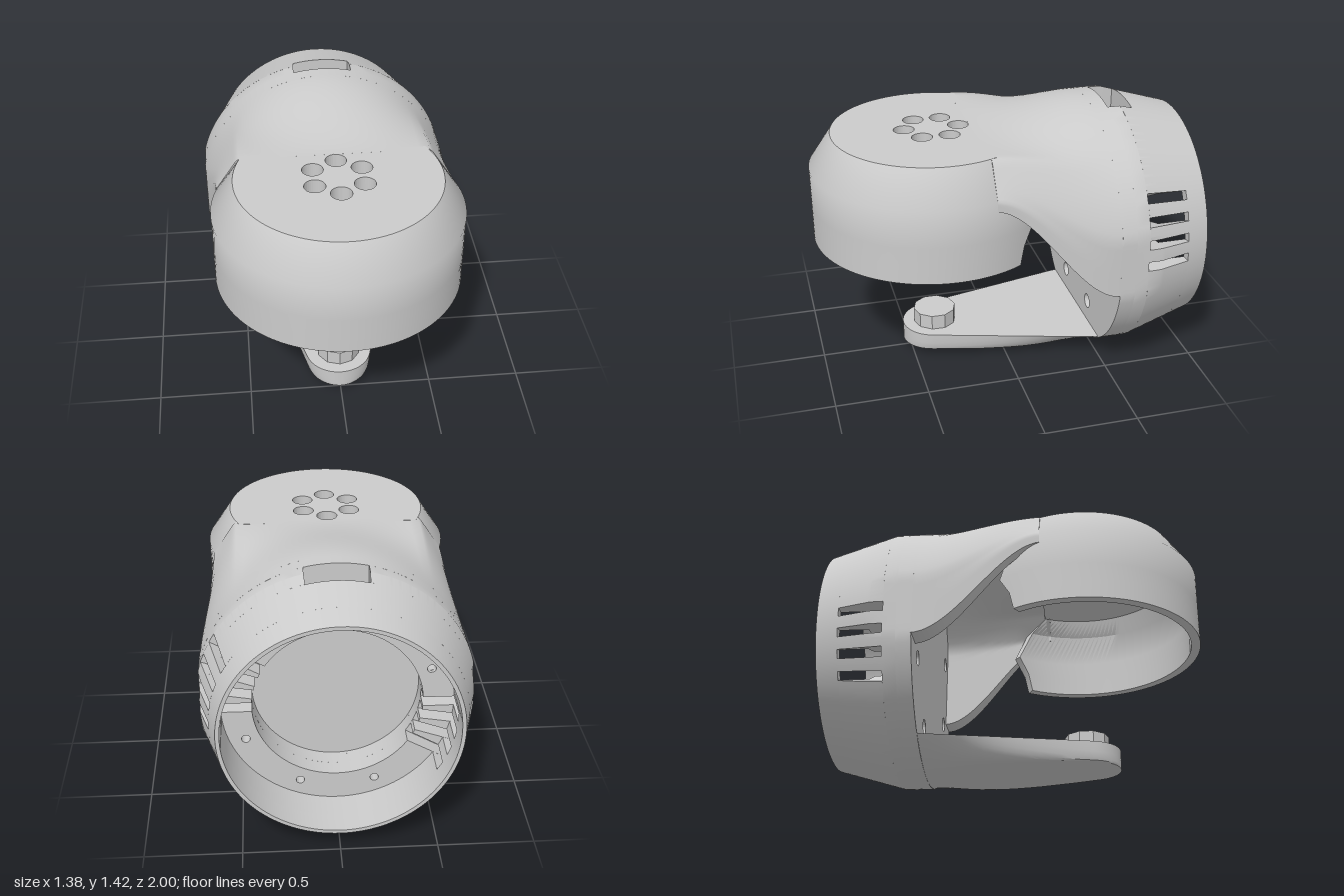
import * as THREE from 'three';
import { mergeGeometries, toCreasedNormals } from 'three/addons/utils/BufferGeometryUtils.js';

const lerp = THREE.MathUtils.lerp, clamp = THREE.MathUtils.clamp;
const rad = THREE.MathUtils.degToRad;
const material = new THREE.MeshStandardMaterial({ color: 0xcccccc });

function addMesh(parent, name, geometry, crease = 0.5) {
  const mesh = new THREE.Mesh(toCreasedNormals(geometry, crease), material);
  mesh.name = name;
  parent.add(mesh);
}

// Closed solid through matching loops; each end is capped as a strip
// between point i and its partner at the other end of the loop.
function loft(sections) {
  const n = sections[0].length, last = sections.length - 1;
  const pos = sections.flat(2), index = [];
  for (let s = 0; s < last; s++) {
    for (let i = 0; i < n; i++) {
      const a = s * n + i, b = s * n + (i + 1) % n;
      index.push(a, b, b + n, a, b + n, a + n);
    }
  }
  for (let i = 0; i < n / 2 - 1; i++) {
    const j = n - 1 - i, e = last * n;
    index.push(i, j, j - 1, i, j - 1, i + 1);
    index.push(e + i, e + j - 1, e + j, e + i, e + i + 1, e + j - 1);
  }
  // Turn the faces outwards if the enclosed volume is negative
  const p = (k) => new THREE.Vector3().fromArray(pos, index[k] * 3);
  let volume = 0;
  for (let k = 0; k < index.length; k += 3) volume += p(k).dot(p(k + 1).cross(p(k + 2)));
  if (volume < 0) index.reverse();
  const g = new THREE.BufferGeometry();
  g.setAttribute('position', new THREE.Float32BufferAttribute(pos, 3));
  g.setIndex(index);
  return g;
}

function circleHole(shape, x, y, r) {
  shape.holes.push(new THREE.Path().absarc(x, y, r, 0, Math.PI * 2, true));
}

// ---- Barrel: stacked ring layers along z, some cut into sectors by openings
const R = 0.71, R_BACK = 0.605, AXIS_Y = 0.711, SIDE = 0.69;
// Straight-sided openings: direction in degrees and half width
const slots = [0, 10, 20, 30, 180, 190, 200, 210].map((a) => [a, 0.026]);
const topWindow = [[90, 0.16]];
const barrelRadius = (z) => (z > -0.64 ? R : lerp(R_BACK, R, (z + 1) / 0.36));

function barrelLayer(z0, z1, inner, gaps = [], screw = 0) {
  const cuts = [...gaps].sort((a, b) => a[0] - b[0]);
  return (cuts.length ? cuts : [null]).map((cut, i) => {
    const shape = new THREE.Shape();
    let from = -90, to = 360;
    if (cut) {
      const next = i + 1 < cuts.length ? cuts[i + 1] : [cuts[0][0] + 360, cuts[0][1]];
      const start = (r) => rad(cut[0]) + Math.asin(cut[1] / r);
      const end = (r) => rad(next[0]) - Math.asin(next[1] / r);
      shape.absarc(0, 0, R_BACK, start(R), end(R), false);
      shape.absarc(0, 0, inner, end(inner), start(inner), true);
      shape.closePath();
      from = cut[0];
      to = next[0];
    } else {
      shape.absarc(0, 0, R_BACK, 0, Math.PI * 2, false);
      if (inner) circleHole(shape, 0, 0, inner);
    }
    for (let k = 0; screw && k < 8; k++) {
      const a = 22.5 + 45 * k;
      if (a > from + 7 && a < to - 7) {
        circleHole(shape, 0.504 * Math.cos(rad(a)), 0.504 * Math.sin(rad(a)), screw);
      }
    }
    const g = new THREE.ExtrudeGeometry(shape, {
      depth: z1 - z0, bevelEnabled: false, curveSegments: cut ? 40 : 64,
    });
    g.translate(0, 0, z0);
    // Widen the outside towards the front and flatten both flanks
    const p = g.attributes.position;
    for (let v = 0; v < p.count; v++) {
      const x = p.getX(v), y = p.getY(v);
      const k = Math.hypot(x, y) > 0.6 ? barrelRadius(p.getZ(v)) / R_BACK : 1;
      p.setXY(v, clamp(x * k, -SIDE, SIDE), y * k + AXIS_Y);
    }
    return g;
  });
}

function makeBarrel(parent) {
  addMesh(parent, 'barrel', mergeGeometries([
    barrelLayer(-1, -0.88, 0.585), // rim
    barrelLayer(-0.88, -0.73, 0.585, slots), // vented wall
    barrelLayer(-0.73, -0.71, 0.43, slots, 0.022), // mounting ring
    barrelLayer(-0.71, -0.64, 0.43, [...slots, ...topWindow], 0.022),
    barrelLayer(-0.64, -0.57, 0.43, topWindow, 0.022),
    barrelLayer(-0.57, -0.55, 0.43, [], 0.022),
    barrelLayer(-0.55, -0.515, 0, [], 0.022), // front plate
    barrelLayer(-0.515, -0.49, 0, [], 0.04), // counterbores
  ].flat()));
}

// ---- Neck: hollow arch blending the barrel outline into the cup outline
function makeNeck(parent) {
  const sections = [], N = 56, STEPS = 32;
  for (let k = 0; k <= STEPS; k++) {
    const z = lerp(-0.495, 0.148, k / STEPS), s = (z + 0.495) / 0.66;
    const t = s * s * (3 - 2 * s);
    const outer = [], inner = [];
    for (let i = 0; i <= N; i++) {
      const a = Math.PI * i / N, b = lerp(rad(-12.6), rad(192.6), i / N);
      const bx = clamp(R * Math.cos(b), -SIDE, SIDE), by = AXIS_Y + R * Math.sin(b);
      // Chamfered cup outline
      const c = 0.62 * Math.cos(a), d = 0.23 * Math.sin(a), ac = Math.abs(c);
      const q = 1 / Math.max(ac / 0.62, d / 0.23, (0.18 * ac + 0.12 * d) / 0.1176);
      const x = lerp(bx, c * q, t), y = lerp(by, 1.09 + d * q, t);
      outer.push([x, y, z]);
      inner.push([clamp(x * 0.92, -0.56, 0.56), y - lerp(0.06, 0.12, t) * Math.sin(a), z]);
    }
    sections.push([...outer, ...inner.reverse()]);
  }
  addMesh(parent, 'neck', loft(sections), 0.9);
}

// ---- Cup: chamfered wall open at the back, with a perforated top
const CUP_Z = 0.35;
function makeCup() {
  const cup = new THREE.Group();
  cup.name = 'cup';
  // Radius, height, and how far the open edges reach back
  const profile = [[0.65, 0.74, 1], [0.65, 0.84, 1.02], [0.65, 0.94, 1.07], [0.65, 1.14, 1],
    [0.53, 1.32, 0.95], [0.53, 1.2, 0.95], [0.6, 1.12, 1], [0.6, 0.94, 1.07],
    [0.6, 0.84, 1.02], [0.6, 0.74, 1]];
  const sections = [], N = 96;
  for (let k = 0; k <= N; k++) {
    sections.push(profile.map(([r, y, reach]) => {
      const a = rad(lerp(-121.5, 121.5, k / N)) * reach;
      return [r * Math.sin(a), y, CUP_Z + r * Math.cos(a)];
    }));
  }
  addMesh(cup, 'cupWall', loft(sections), 0.75);

  // Top plate with counterbored holes, trimmed straight where the neck begins
  for (const [y, depth, r] of [[1.2, 0.03, 0.03], [1.23, 0.09, 0.055]]) {
    const shape = new THREE.Shape().absarc(0, 0, 0.53, rad(154), rad(386), false);
    shape.closePath();
    for (let k = 0; k < 6; k++) {
      const a = rad(30 + 60 * k);
      circleHole(shape, 0.145 * Math.cos(a), 0.145 * Math.sin(a), r);
    }
    const g = new THREE.ExtrudeGeometry(shape, { depth, bevelEnabled: false, curveSegments: 64 });
    g.rotateX(-Math.PI / 2).translate(0, y, CUP_Z);
    addMesh(cup, 'cupTop', g);
  }
  return cup;
}

// ---- Lower arm: flat top, belly curved like the barrel, rounded tip
function makeArm() {
  const arm = new THREE.Group();
  arm.name = 'lowerArm';
  const zs = [];
  for (let k = 0; k <= 16; k++) zs.push(lerp(-0.5, 0.4, k / 16));
  for (let k = 1; k <= 14; k++) zs.push(0.36 + 0.18 * Math.sin(lerp(0.224, 1.55, k / 14)));
  const sections = zs.map((z) => {
    const t = clamp((z + 0.49) / 0.89, 0, 1);
    const w = z <= 0.4 ? lerp(0.402, 0.176, t) : Math.sqrt(0.18 ** 2 - (z - 0.36) ** 2);
    const top = lerp(0.13, 0.146, t), h = top - lerp(0.002, 0.042, t);
    const power = 2 + 38 * t * t;
    const belly = [], deck = [];
    for (let i = 0; i <= 32; i++) {
      const u = Math.sin(lerp(-Math.PI / 2, Math.PI / 2, i / 32));
      belly.push([u * w, top - h * (1 - Math.abs(u) ** power), z]);
      deck.push([u * w, top, z]);
    }
    return [...belly, ...deck.reverse()];
  });
  addMesh(arm, 'armPlate', loft(sections));
  const pin = new THREE.CylinderGeometry(0.118, 0.118, 0.1, 10).translate(0, 0.178, 0.36);
  addMesh(arm, 'pivotPin', pin, 0.1);
  return arm;
}

export function createModel() {
  const model = new THREE.Group();
  model.name = 'jointHousing';
  makeBarrel(model);
  makeNeck(model);
  model.add(makeCup(), makeArm());
  return model;
}
